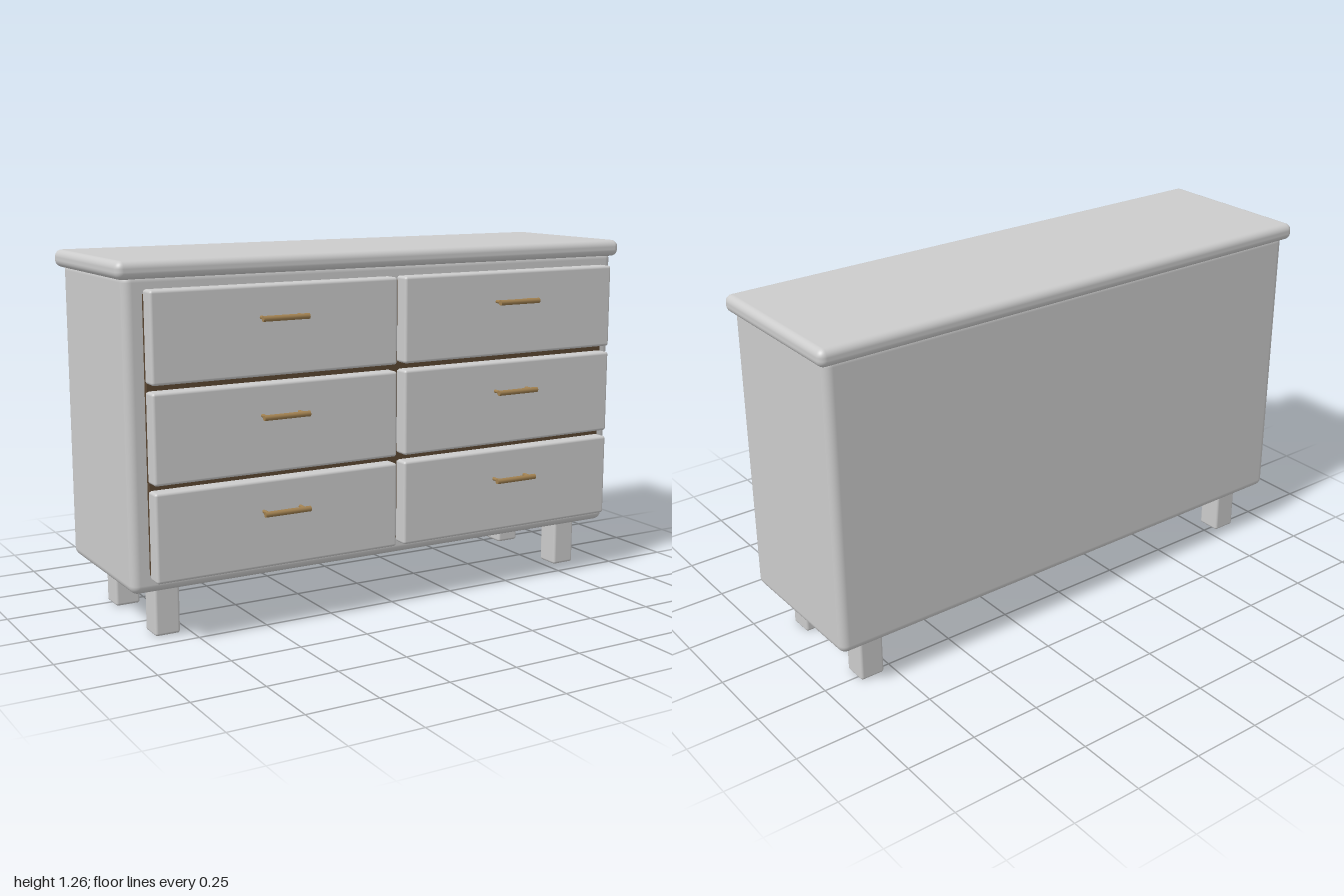
import * as THREE from 'three';
import { RoundedBoxGeometry } from 'three/addons/geometries/RoundedBoxGeometry.js';

export function createModel() {
  const group = new THREE.Group();
  const grey = new THREE.MeshStandardMaterial({ color: 0xcccccc });
  const darkWood = new THREE.MeshStandardMaterial({ color: 0x5a4632 });
  const brass = new THREE.MeshStandardMaterial({ color: 0xa08050 });

  const add = (name, geometry, material, x, y, z, parent = group) => {
    const mesh = new THREE.Mesh(geometry, material);
    mesh.name = name;
    mesh.position.set(x, y, z);
    parent.add(mesh);
    return mesh;
  };
  const rounded = (w, h, d, r) => new RoundedBoxGeometry(w, h, d, 4, r);

  // Carcass and overhanging top
  add('body', rounded(1.95, 1.045, 0.573, 0.03), grey, 0, 0.6975, -0.0515);
  add('top', rounded(2, 0.06, 0.61, 0.025), grey, 0, 1.23, -0.055);

  // Legs
  const legGeometry = rounded(0.09, 0.2, 0.09, 0.01);
  for (const x of [-0.83, 0.83]) {
    for (const z of [0.132, -0.235]) add('leg', legGeometry, grey, x, 0.103, z);
  }

  // Dark panel behind the drawers, with rails and a centre divider
  add('backingPanel', new THREE.BoxGeometry(1.825, 0.915, 0.02), darkWood, 0, 0.6975, 0.235);
  add('divider', new THREE.BoxGeometry(0.03, 0.915, 0.025), darkWood, 0, 0.6975, 0.24);
  for (const y of [0.536, 0.859]) {
    add('rail', new THREE.BoxGeometry(1.825, 0.03, 0.03), darkWood, 0, y, 0.241);
  }

  // Six drawers, each with a bar handle on two posts
  const drawerGeometry = rounded(0.9, 0.3, 0.062, 0.01);
  const barGeometry = new THREE.CylinderGeometry(0.0095, 0.0095, 0.168, 20).rotateZ(Math.PI / 2);
  const postGeometry = new THREE.CylinderGeometry(0.006, 0.006, 0.05, 16).rotateX(Math.PI / 2);
  for (const y of [0.375, 0.698, 1.021]) {
    for (const side of [-1, 1]) {
      const drawer = new THREE.Group();
      drawer.name = 'drawer';
      drawer.position.set(side * 0.465, y, 0.275);
      add('drawerFront', drawerGeometry, grey, 0, 0, 0, drawer);
      add('handleBar', barGeometry, brass, 0, 0.045, 0.075, drawer);
      for (const x of [-0.068, 0.068]) add('handlePost', postGeometry, brass, x, 0.045, 0.05, drawer);
      group.add(drawer);
    }
  }
  return group;
}
